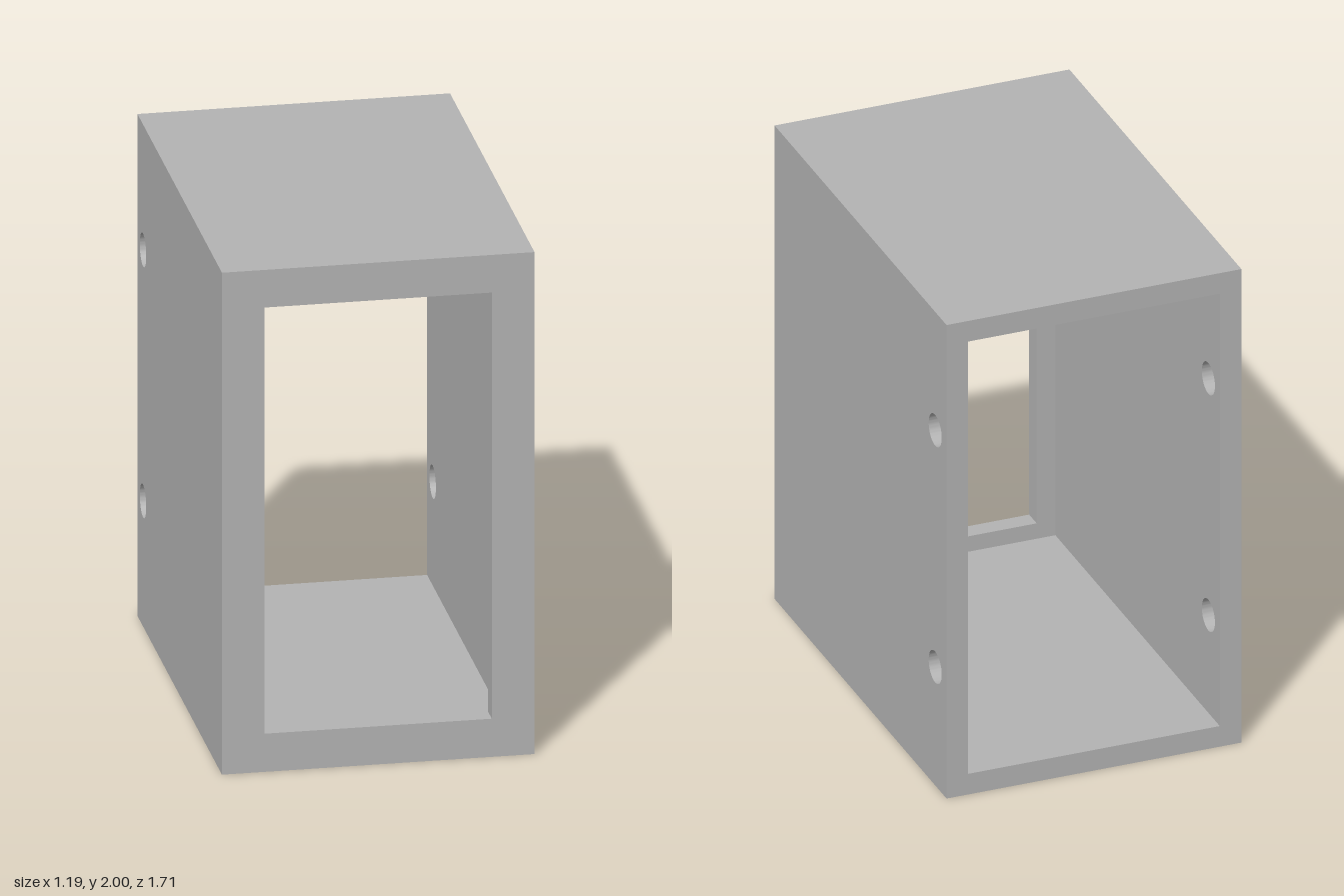
import * as THREE from 'three';
import { toCreasedNormals } from 'three/addons/utils/BufferGeometryUtils.js';

const W = 0.593, H = 2, D = 0.855;   // half width, height, half depth
const WALL = 0.087, LIP = 0.075;     // wall and front frame thickness
const frameBack = D - LIP;

function rect(x0, y0, x1, y1, Type = THREE.Shape) {
  const s = new Type();
  s.moveTo(x0, y0);
  s.lineTo(x1, y0);
  s.lineTo(x1, y1);
  s.lineTo(x0, y1);
  s.closePath();
  return s;
}

function extrude(shape, depth) {
  const g = new THREE.ExtrudeGeometry(shape, { depth, bevelEnabled: false, curveSegments: 32 });
  return toCreasedNormals(g, 0.6);
}

export function createModel() {
  const group = new THREE.Group();
  group.name = 'openBox';
  const grey = new THREE.MeshStandardMaterial({ color: 0xb3b3b3 });
  grey.name = 'grey';

  const add = (name, geometry) => {
    const mesh = new THREE.Mesh(geometry, grey);
    mesh.name = name;
    group.add(mesh);
    return mesh;
  };

  // Front frame with a window narrower than the cavity behind it
  const frame = rect(-W, 0, W, H);
  frame.holes.push(rect(-0.431, 0.152, 0.431, 1.85, THREE.Path));
  add('frontFrame', extrude(frame, LIP)).position.z = frameBack;

  // Side walls, each with two round holes near the open back
  const side = rect(-D, 0, frameBack, H);
  for (const y of [0.5, 1.5]) {
    side.holes.push(new THREE.Path().absarc(-0.742, y, 0.065, 0, Math.PI * 2, true));
  }
  const sideGeometry = extrude(side, WALL).rotateY(-Math.PI / 2);
  add('leftWall', sideGeometry).position.x = W;
  add('rightWall', sideGeometry).position.x = -W + WALL;

  // Floor and roof between the side walls
  const slab = new THREE.BoxGeometry(2 * (W - WALL), WALL, D + frameBack);
  add('floor', slab).position.set(0, WALL / 2, -LIP / 2);
  add('roof', slab).position.set(0, H - WALL / 2, -LIP / 2);

  return group;
}
